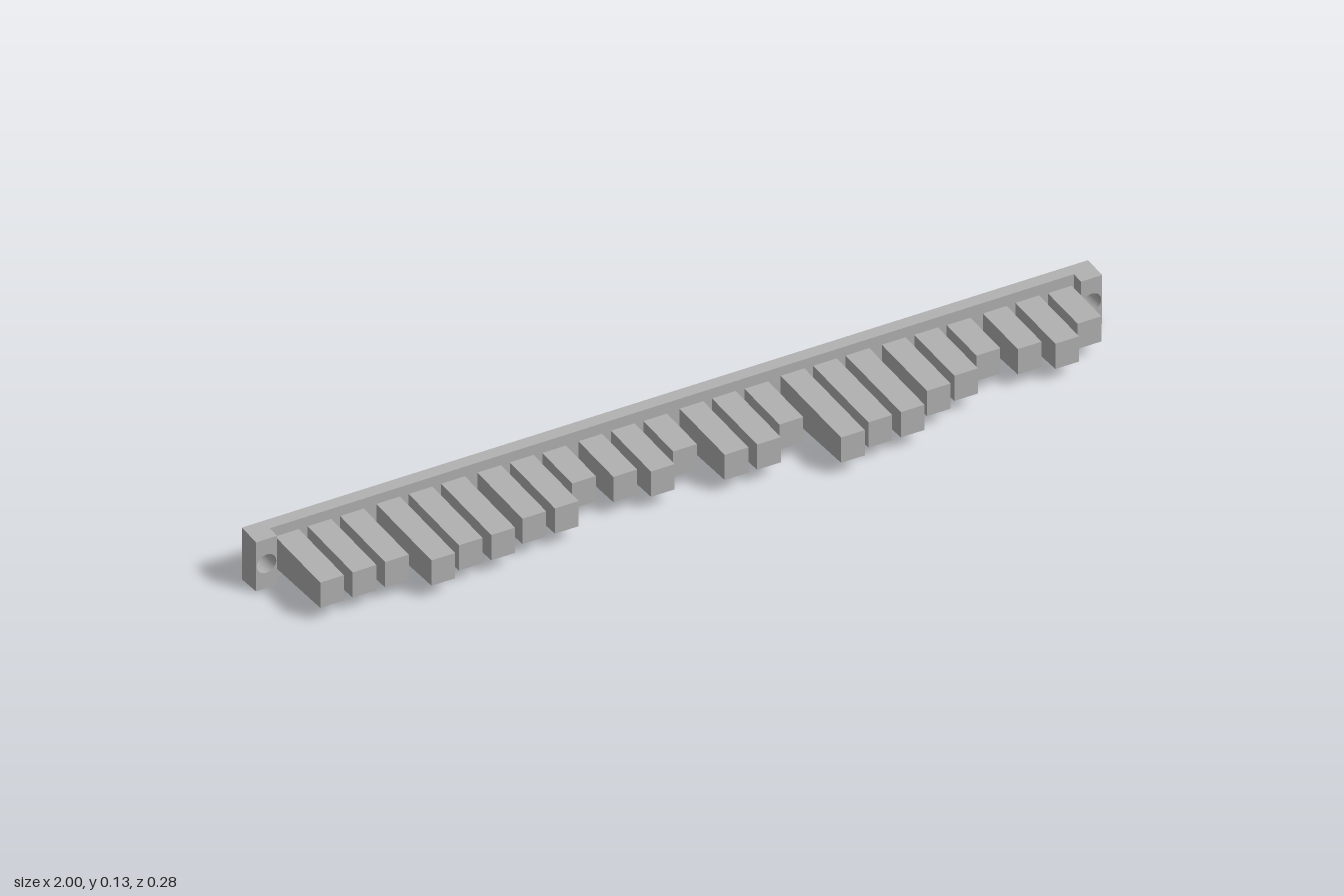
import * as THREE from 'three';

const MID = 0.0635; // height of the centre line
const BACK = -0.139, PLATE_FRONT = -0.11, BLOCK_FRONT = -0.081;

// Applies a moulding draft: scales y about the centre line as z moves forward
function draft(geometry, z0, half0, z1, half1) {
  const p = geometry.attributes.position;
  for (let i = 0; i < p.count; i++) {
    const t = (p.getZ(i) - z0) / (z1 - z0);
    p.setY(i, MID + p.getY(i) * (half0 + (half1 - half0) * t));
  }
  geometry.computeVertexNormals();
  return geometry;
}

// Upright plate of unit half height, with screw holes, drafted to size
function drilledPlate(x0, x1, z0, z1, half0, half1, holes) {
  const shape = new THREE.Shape();
  shape.moveTo(x0, -1).lineTo(x1, -1).lineTo(x1, 1).lineTo(x0, 1).closePath();
  for (const x of holes) {
    const hole = new THREE.Path();
    hole.absellipse(x, 0, 0.023, 0.023 / half0, 0, Math.PI * 2, true);
    shape.holes.push(hole);
  }
  const g = new THREE.ExtrudeGeometry(shape, { depth: z1 - z0, bevelEnabled: false, curveSegments: 16 });
  g.translate(0, 0, z0);
  return draft(g, z0, half0, z1, half1);
}

export function createModel() {
  const group = new THREE.Group();
  const grey = new THREE.MeshStandardMaterial({ color: 0xb0b0b0 });
  grey.name = 'grey';
  const add = (name, geometry) => {
    const mesh = new THREE.Mesh(geometry, grey);
    mesh.name = name;
    group.add(mesh);
  };

  // Long back plate with a screw hole at each end
  add('backPlate', drilledPlate(-1, 1, BACK, PLATE_FRONT, 0.0635, 0.062, [-0.975, 0.975]));

  // Raised mounting blocks around the holes
  add('leftEndBlock', drilledPlate(0.95, 1, PLATE_FRONT, BLOCK_FRONT, 0.062, 0.06, [0.975]));
  add('rightEndBlock', drilledPlate(-1, -0.95, PLATE_FRONT, BLOCK_FRONT, 0.062, 0.06, [-0.975]));

  // Teeth in groups of three, each stepped to one of seven lengths
  const steps = [3, 3, 3, 5, 4, 4, 3, 3, 0, 1, 2, 0, 3, 3, 1, 6, 5, 5, 3, 2, 0, 1, 2, 0];
  steps.forEach((step, i) => {
    const x = -0.91 + Math.floor(i / 3) * 0.239 + (i % 3) * 0.0767;
    const tip = 0.013 + 0.021 * step;
    const length = tip - PLATE_FRONT;
    const g = new THREE.BoxGeometry(0.056, 2, length);
    g.translate(x, 0, PLATE_FRONT + length / 2);
    add('tooth' + (i + 1), draft(g, PLATE_FRONT, 0.031 + 0.036 * length, tip, 0.031));
  });

  return group;
}
